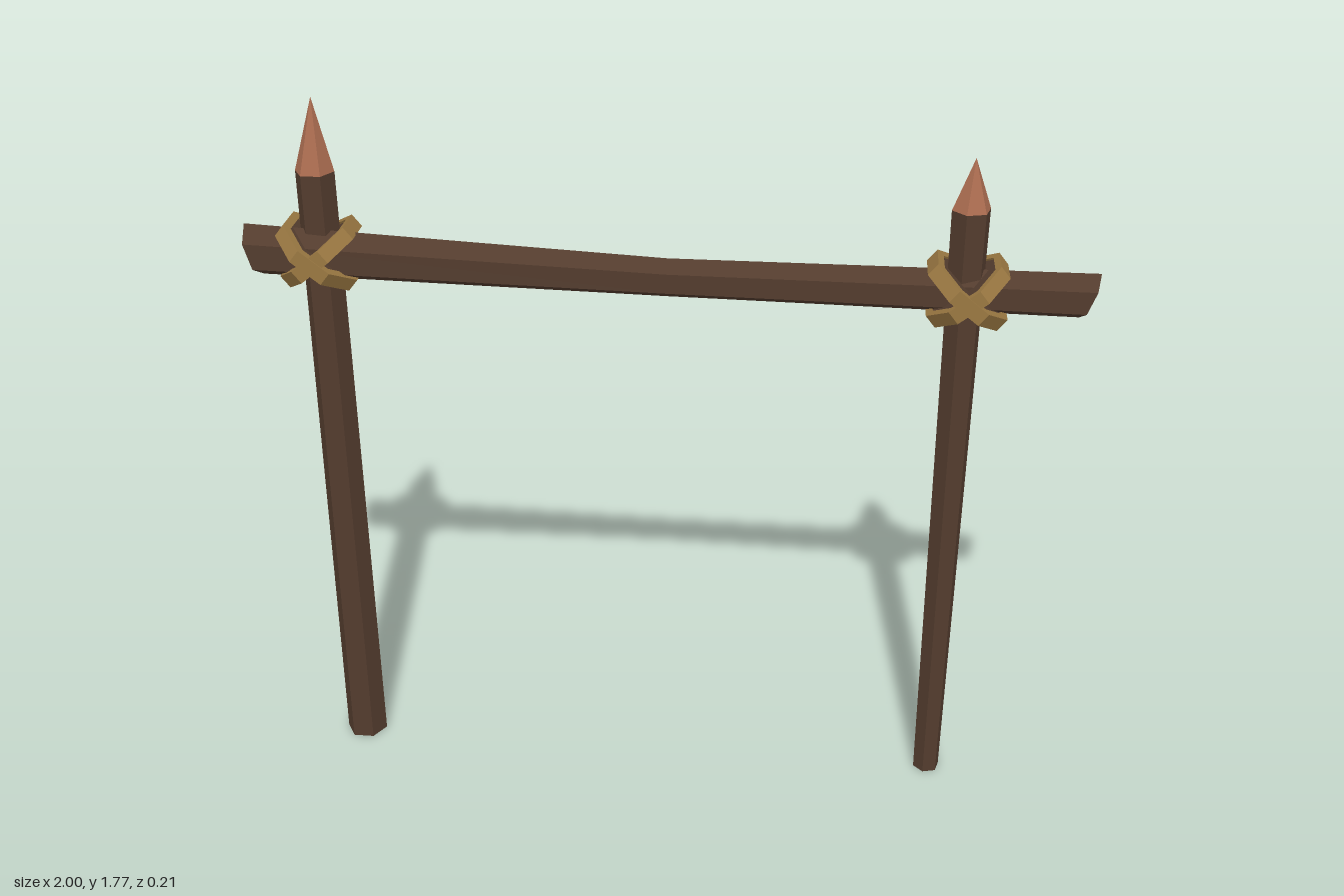
import * as THREE from 'three';

const mat = (name, color) => {
  const m = new THREE.MeshStandardMaterial({ color, flatShading: true });
  m.name = name;
  return m;
};

// Six-sided log through sections [centre x, y, z, radius, end slant]
function log(sections, phase, alongX) {
  const n = sections.length - 1;
  const g = new THREE.CylinderGeometry(1, 1, 1, 6, n, false, phase);
  const p = g.attributes.position;
  for (let i = 0; i < p.count; i++) {
    const [cx, cy, cz, r, slant = 0] = sections[Math.round((p.getY(i) + 0.5) * n)];
    const a = p.getX(i), b = p.getZ(i);
    if (alongX) p.setXYZ(i, cx + slant * b, cy + r * b, cz + r * a);
    else p.setXYZ(i, cx + r * a, cy, cz + r * b);
  }
  g.computeVertexNormals();
  return g;
}

// Eight-sided flat band, made as a closed lathe profile
function band(outer, inner, half) {
  const pts = [[inner, -half], [outer, -half], [outer, half], [inner, half], [inner, -half]];
  const g = new THREE.LatheGeometry(pts.map(([x, y]) => new THREE.Vector2(x, y)), 8);
  return g.rotateY(Math.PI / 8);
}

export function createModel() {
  const root = new THREE.Group();
  root.name = 'hangingFrame';
  const wood = mat('bark', 0x533c2e);
  const cut = mat('cutWood', 0xaa6c50);
  const rope = mat('rope', 0x9a7842);

  const add = (parent, name, geometry, material) => {
    const m = new THREE.Mesh(geometry, material);
    m.name = name;
    parent.add(m);
    return m;
  };

  // Sharpened posts
  const posts = [
    ['tallPost', Math.PI / 2, [-0.828, 0, -0.02, 0.053], [-0.826, 1.6, -0.015, 0.047], [-0.822, 1.775, -0.022, 0]],
    ['shortPost', Math.PI / 4, [0.693, 0, -0.003, 0.034], [0.691, 1.565, -0.009, 0.046], [0.693, 1.685, -0.012, 0]],
  ];
  for (const [name, phase, foot, neck, tip] of posts) {
    const post = new THREE.Group();
    post.name = name;
    add(post, 'shaft', log([foot, neck], phase, false), wood);
    add(post, 'sharpTip', log([neck, tip], phase, false), cut);
    root.add(post);
  }

  // Slightly bent crossbeam with slanted cut ends
  add(root, 'crossbeam', log([
    [-0.982, 1.412, 0.016, 0.063, -0.018],
    [0, 1.367, -0.015, 0.048, 0],
    [0.976, 1.37, 0.002, 0.055, 0.02],
  ], 0, true), [wood, cut, cut]);

  // Crossed rope lashings around a wooden core
  for (const [name, x, y] of [['tallPostLashing', -0.825, 1.405], ['shortPostLashing', 0.696, 1.37]]) {
    const lashing = new THREE.Group();
    lashing.name = name;
    lashing.position.set(x, y, -0.002);
    for (const s of [-1, 1]) {
      const grow = s > 0 ? 0.003 : 0;
      const turn = s * 0.9;
      const ring = add(lashing, 'ropeBand', band(0.112 + grow, 0.094, 0.018), rope);
      ring.rotation.z = turn + Math.PI / 2;
      const core = add(lashing, 'bandCore',
        new THREE.CylinderGeometry(0.097, 0.097, 0.026, 8, 1, false, Math.PI / 8), wood);
      core.rotation.z = turn + Math.PI / 2;
    }
    root.add(lashing);
  }
  return root;
}
